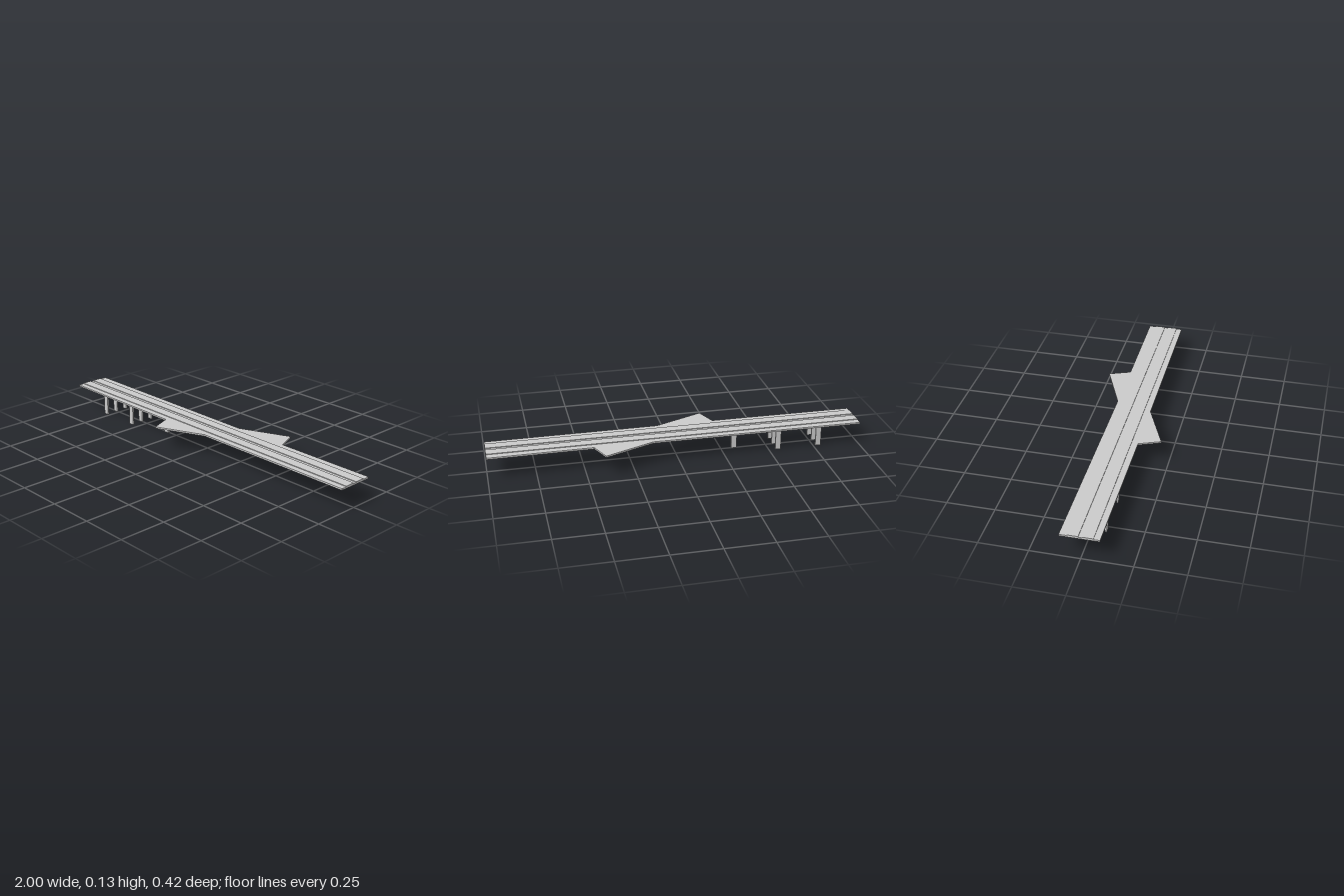
import * as THREE from 'three';

const material = new THREE.MeshStandardMaterial({ color: 0xcccccc, flatShading: true });

export function createModel() {
  const model = new THREE.Group();

  const addBox = (name, size, position) => {
    const mesh = new THREE.Mesh(new THREE.BoxGeometry(...size), material);
    mesh.name = name;
    mesh.position.set(...position);
    model.add(mesh);
  };

  // Deck slab with a wedge-shaped platform on each side, outlined as (x, z)
  const deckBottom = 0.118, deckTop = 0.127;
  const outline = [
    [-1, 0.094], [-0.225, 0.097], [-0.18, 0.209], [0.08, 0.097], [1, 0.094],
    [1, -0.101], [0.45, -0.097], [0.405, -0.209], [0.14, -0.097], [-1, -0.101],
  ];
  const shape = new THREE.Shape(outline.map(([x, z]) => new THREE.Vector2(x, -z)));
  const deckGeometry = new THREE.ExtrudeGeometry(shape, { depth: deckTop - deckBottom, bevelEnabled: false });
  deckGeometry.rotateX(-Math.PI / 2);
  const deck = new THREE.Mesh(deckGeometry, material);
  deck.name = 'deck';
  deck.position.y = deckBottom;
  model.add(deck);

  // Two raised track beds along the full length
  for (const [name, z] of [['frontTrackBed', 0.0365], ['backTrackBed', -0.0355]]) {
    addBox(name, [2, 0.004, 0.053], [0, 0.1285, z]);
  }

  // Two rows of three pillars and one thicker single pillar
  for (const x of [-0.777, -0.55]) {
    for (const z of [0.0685, 0.001, -0.0665]) {
      addBox('pillar', [0.03, deckBottom, 0.009], [x, deckBottom / 2, z]);
    }
  }
  addBox('singlePillar', [0.03, deckBottom, 0.014], [-0.322, deckBottom / 2, 0.0035]);

  return model;
}
